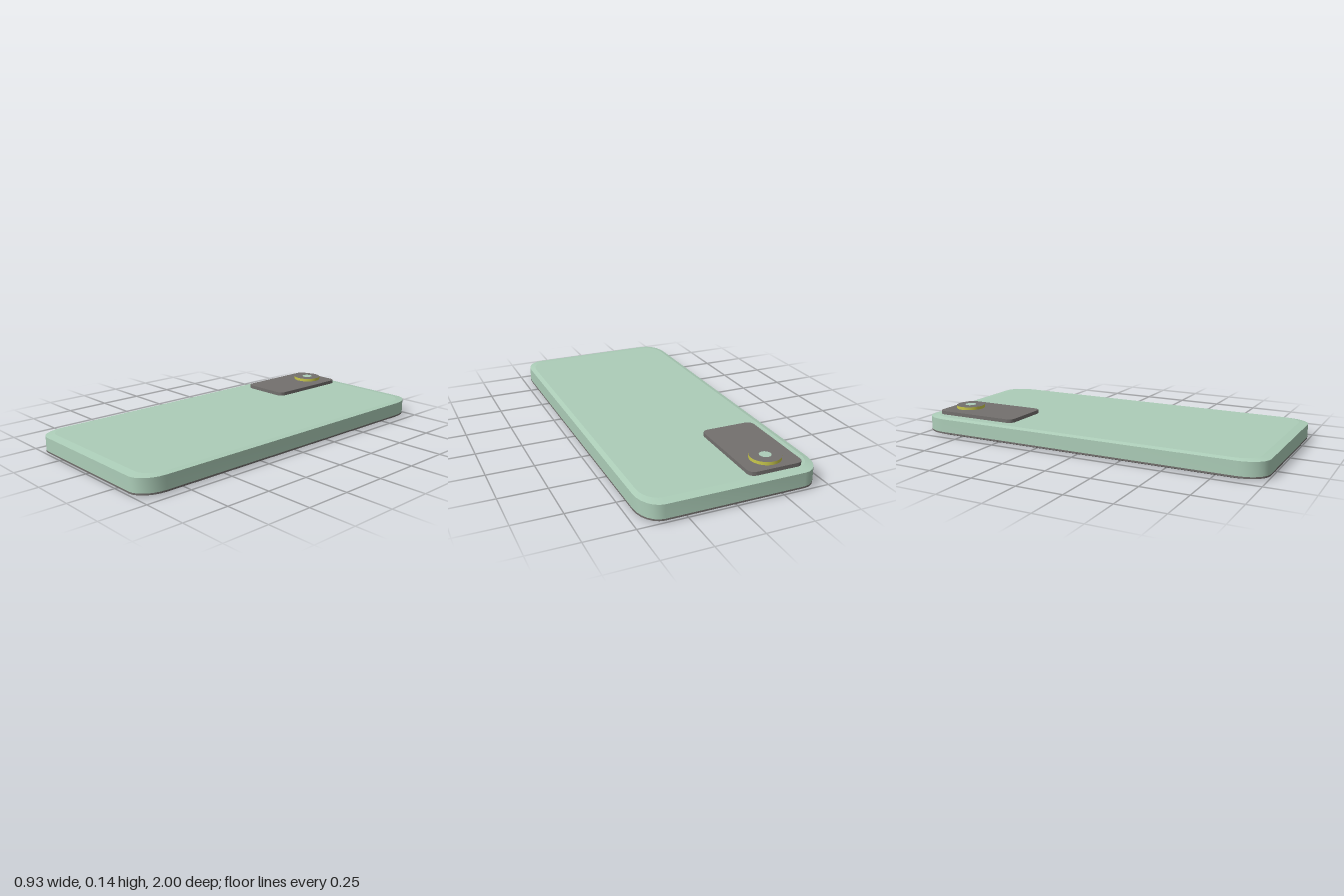
import * as THREE from 'three';
import { toCreasedNormals } from 'three/addons/utils/BufferGeometryUtils.js';

const material = (name, color) => new THREE.MeshStandardMaterial({ name, color });

// Rounded rectangle with elliptical corners, lying flat at height y
function ring(y, hx, hz, rx, rz, cx = 0, cz = 0, steps = 6) {
  const points = [];
  [[1, 1], [-1, 1], [-1, -1], [1, -1]].forEach(([sx, sz], corner) => {
    for (let i = 0; i <= steps; i++) {
      const a = (corner + i / steps) * Math.PI / 2;
      points.push(new THREE.Vector3(
        cx + sx * (hx - rx) + rx * Math.cos(a), y, cz + sz * (hz - rz) + rz * Math.sin(a)));
    }
  });
  return points;
}

function fromTriangles(points) {
  const geometry = new THREE.BufferGeometry().setFromPoints(points);
  geometry.computeVertexNormals();
  return toCreasedNormals(geometry, 0.6);
}

// Wall between a lower and an upper ring
function band(low, high) {
  const tri = [];
  low.forEach((p, i) => {
    const j = (i + 1) % low.length;
    tri.push(p, high[i], high[j], p, high[j], low[j]);
  });
  return fromTriangles(tri);
}

// Flat face filling a ring
function cap(points, up) {
  const centre = points[0].clone().add(points[points.length / 2]).multiplyScalar(0.5);
  const tri = [];
  points.forEach((p, i) => {
    const q = points[(i + 1) % points.length];
    tri.push(centre, up ? q : p, up ? p : q);
  });
  return fromTriangles(tri);
}

export function createModel() {
  const model = new THREE.Group();
  model.name = 'phone';
  const green = material('mint green', 0xaccdb8);
  const grey = material('warm grey', 0x73706e);
  const black = material('screen black', 0x050505);
  const yellow = material('lens yellow', 0xc9c84c);

  const add = (parent, name, geometry, mat) => {
    const mesh = new THREE.Mesh(geometry, mat);
    mesh.name = name;
    parent.add(mesh);
    return mesh;
  };

  // Body levels from the screen up to the back cover
  const screen = ring(0, 0.435, 0.96, 0.085, 0.115);
  const bezel = ring(0.011, 0.463, 1, 0.1, 0.14);
  const seam = ring(0.02, 0.463, 1, 0.1, 0.14);
  const shoulder = ring(0.094, 0.463, 1, 0.1, 0.14);
  const back = ring(0.101, 0.437, 0.952, 0.085, 0.115);

  const body = new THREE.Group();
  body.name = 'body';
  model.add(body);
  add(body, 'screen', cap(screen, false), black);
  add(body, 'screenBezel', band(screen, bezel), grey);
  add(body, 'bezelEdge', band(bezel, seam), grey);
  add(body, 'sideFrame', band(seam, shoulder), green);
  add(body, 'backChamfer', band(shoulder, back), green);
  add(body, 'backCover', cap(back, true), green);

  // Raised camera plate
  const camera = new THREE.Group();
  camera.name = 'camera';
  model.add(camera);
  const plate = y => ring(y, 0.147, 0.251, 0.035, 0.035, -0.241, -0.694);
  add(camera, 'cameraPlateEdge', band(plate(0.1), plate(0.121)), grey);
  add(camera, 'cameraPlateTop', cap(plate(0.121), true), grey);

  // Lens: yellow rim, grey face and a small pale centre
  const lens = new THREE.Group();
  lens.name = 'lens';
  lens.position.set(-0.238, 0, -0.834);
  camera.add(lens);
  add(lens, 'lensRim', new THREE.CylinderGeometry(0.081, 0.081, 0.017, 32, 1, true), yellow)
    .position.y = 0.1295;
  const disc = (name, radius, y, mat) => add(lens, name,
    new THREE.CircleGeometry(radius, 32).rotateX(-Math.PI / 2).translate(0, y, 0), mat);
  disc('lensFace', 0.081, 0.138, grey);
  disc('lensCentre', 0.031, 0.139, green);

  return model;
}
